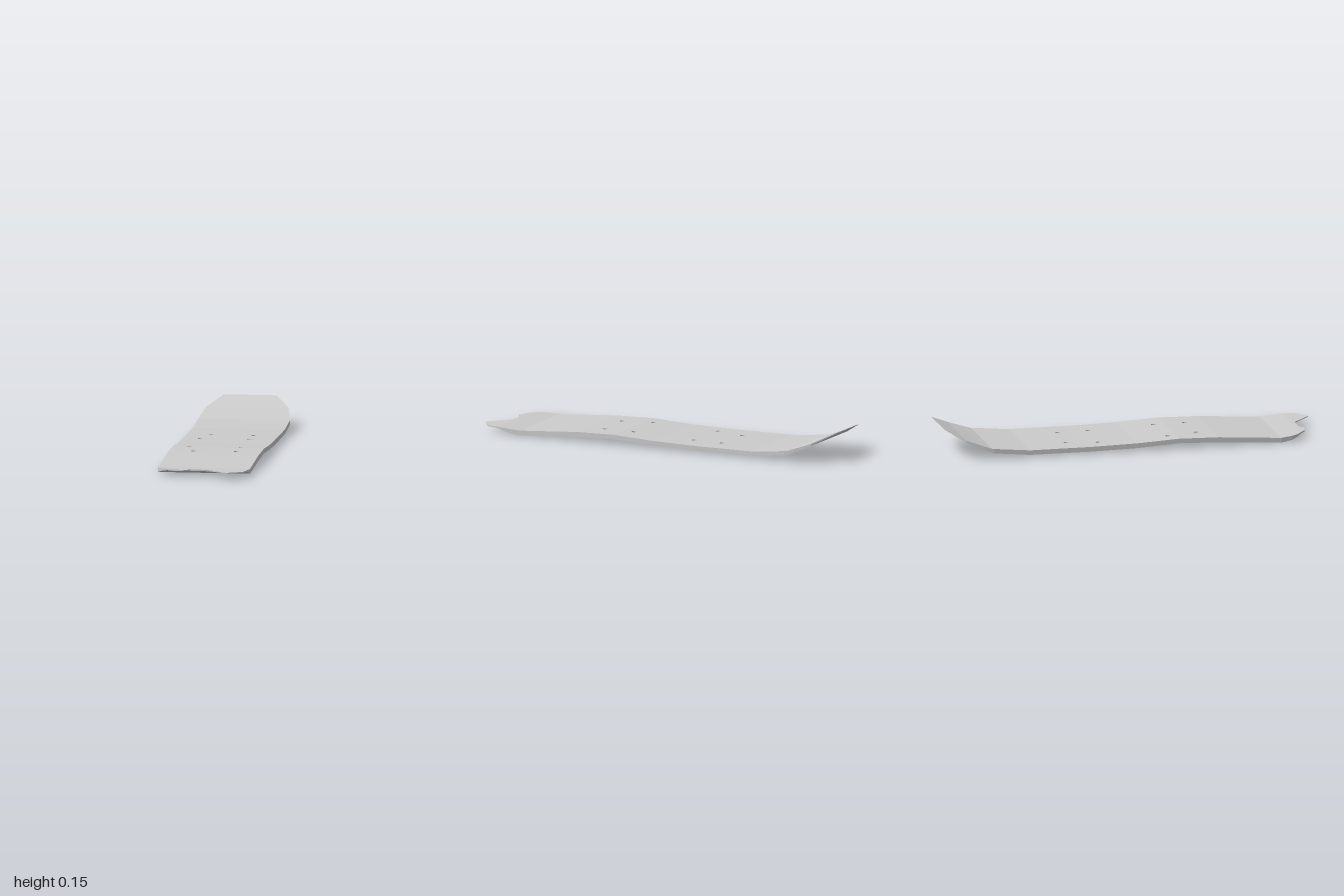
import * as THREE from 'three';

// Lengthwise sections of the deck: [z, underside height, top height]
const SECTIONS = [
  [-1, 0.147, 0.15], [-0.9, 0.09, 0.101], [-0.83, 0.058, 0.076], [-0.77, 0.033, 0.056],
  [-0.57, 0.013, 0.037], [-0.25, 0.012, 0.037], [0, 0.017, 0.042], [0.22, 0.03, 0.054],
  [0.43, 0.023, 0.05], [0.62, 0.01, 0.037], [0.76, 0.002, 0.028], [0.82, 0.012, 0.033],
  [0.88, 0.03, 0.038], [1, 0.036, 0.039],
];

// Plan outline [x, z]: clipped tail, straight sides, chipped nose
const OUTLINE = [
  [-0.215, -0.9], [-0.235, -0.81], [-0.242, -0.76], [-0.242, 0.76], [-0.232, 0.82],
  [-0.21, 0.855], [-0.15, 0.905], [-0.09, 0.92], [-0.055, 0.897], [0.04, 0.897],
  [0.145, 0.995], [0.225, 0.945], [0.24, 0.86], [0.235, 0.76], [0.235, -0.76],
  [0.228, -0.81], [0.21, -0.9], [0.135, -1], [-0.14, -1],
];

// Truck bolt holes [x, z]
const HOLES = [
  [-0.115, -0.35], [0.105, -0.34], [-0.155, -0.19], [0.105, -0.18],
  [-0.155, 0.18], [0.105, 0.165], [-0.115, 0.34], [0.105, 0.33],
];
const HOLE_RADIUS = 0.014;
const HOLE_SIDES = 10;

// Height at z on the underside (side = 1) or top (side = 2)
function height(z, side) {
  let i = 0;
  while (i < SECTIONS.length - 2 && z > SECTIONS[i + 1][0]) i++;
  const a = SECTIONS[i], b = SECTIONS[i + 1];
  return THREE.MathUtils.lerp(a[side], b[side], (z - a[0]) / (b[0] - a[0]));
}

// Keep the part of a polygon where sign * (z - limit) >= 0
function clip(points, limit, sign) {
  const out = [];
  points.forEach((p, i) => {
    const q = points[(i + 1) % points.length];
    const dp = sign * (p[1] - limit), dq = sign * (q[1] - limit);
    if (dp >= 0) out.push(p);
    if (dp * dq < 0) out.push([p[0] + (q[0] - p[0]) * dp / (dp - dq), limit]);
  });
  return out;
}

function holeRing([x, z]) {
  return Array.from({ length: HOLE_SIDES }, (_, i) => {
    const a = i / HOLE_SIDES * Math.PI * 2;
    return [x + HOLE_RADIUS * Math.cos(a), z + HOLE_RADIUS * Math.sin(a)];
  });
}

const at = ([x, z], side) => [x, height(z, side), z];

// Vertical wall between two outline points
function addWall(target, a, b) {
  const [a1, b1, a2, b2] = [at(a, 1), at(b, 1), at(a, 2), at(b, 2)];
  target.push(...a1, ...b1, ...b2, ...a1, ...b2, ...a2);
}

function makeMesh(name, positions) {
  const geometry = new THREE.BufferGeometry();
  geometry.setAttribute('position', new THREE.Float32BufferAttribute(positions, 3));
  geometry.computeVertexNormals();
  const mesh = new THREE.Mesh(geometry,
    new THREE.MeshStandardMaterial({ color: 0xcccccc, flatShading: true }));
  mesh.name = name;
  return mesh;
}

export function createModel() {
  const top = [], underside = [], rim = [], bores = [];
  const last = SECTIONS.length - 2;

  for (let s = 0; s <= last; s++) {
    const z0 = SECTIONS[s][0], z1 = SECTIONS[s + 1][0];
    const strip = clip(clip(OUTLINE, z0, 1), z1, -1);
    const rings = HOLES.filter((h) => h[1] > z0 && h[1] < z1).map(holeRing);

    // Top and underside faces of this strip, pierced by its holes
    const toVec = ([x, z]) => new THREE.Vector2(x, -z);
    const shape = new THREE.Shape(strip.map(toVec));
    shape.holes = rings.map((r) => new THREE.Path(r.map(toVec)));
    const flat = new THREE.ShapeGeometry(shape);
    const pos = flat.attributes.position, index = flat.index.array;
    for (let i = 0; i < index.length; i += 3) {
      const tri = [0, 1, 2].map((k) => [pos.getX(index[i + k]), -pos.getY(index[i + k])]);
      tri.forEach((p) => top.push(...at(p, 2)));
      tri.reverse().forEach((p) => underside.push(...at(p, 1)));
    }

    // Outer rim, leaving out the seams between strips
    strip.forEach((a, i) => {
      const b = strip[(i + 1) % strip.length];
      const seam = (s > 0 && a[1] === z0 && b[1] === z0) || (s < last && a[1] === z1 && b[1] === z1);
      if (!seam) addWall(rim, a, b);
    });

    // Inside walls of the bolt holes
    rings.forEach((r) => r.forEach((a, i) => addWall(bores, a, r[(i + 1) % r.length])));
  }

  const deck = new THREE.Group();
  deck.name = 'skateboardDeck';
  deck.add(makeMesh('deckTop', top), makeMesh('deckUnderside', underside),
    makeMesh('deckRim', rim), makeMesh('boltHoles', bores));
  return deck;
}
